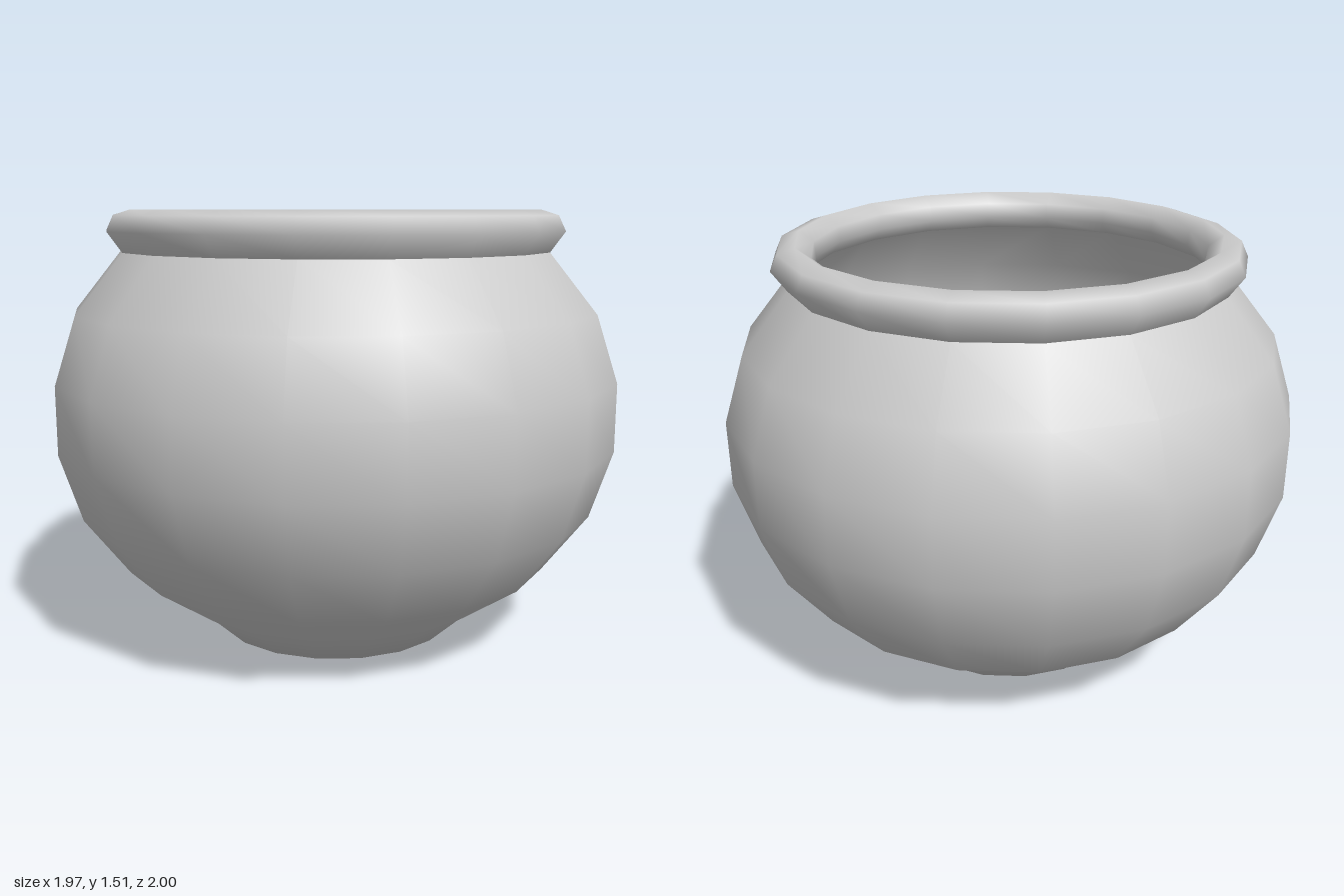
import * as THREE from 'three';

const SIDES = 18;

// Revolve a [radius, height] profile around the vertical axis
function lathe(name, profile, material) {
  const points = profile.map(([r, y]) => new THREE.Vector2(r, y));
  const mesh = new THREE.Mesh(new THREE.LatheGeometry(points, SIDES), material);
  mesh.name = name;
  return mesh;
}

export function createModel() {
  const group = new THREE.Group();
  group.name = 'bowl';
  const material = new THREE.MeshStandardMaterial({ color: 0xcccccc, side: THREE.DoubleSide });

  // Rounded thin-walled body, closed by a flat base and open at the top
  group.add(lathe('body', [
    [0, 0], [0.43, 0], [0.54, 0.1], [0.77, 0.26], [0.925, 0.465],
    [1, 0.7], [1, 0.935], [0.925, 1.165], [0.76, 1.37],
  ], material));

  // Rolled rim: a closed ring section starting at the neck crease
  group.add(lathe('rim', [
    [0.76, 1.37], [0.81, 1.44], [0.785, 1.493], [0.725, 1.512],
    [0.675, 1.475], [0.67, 1.42], [0.705, 1.375], [0.76, 1.37],
  ], material));

  return group;
}
